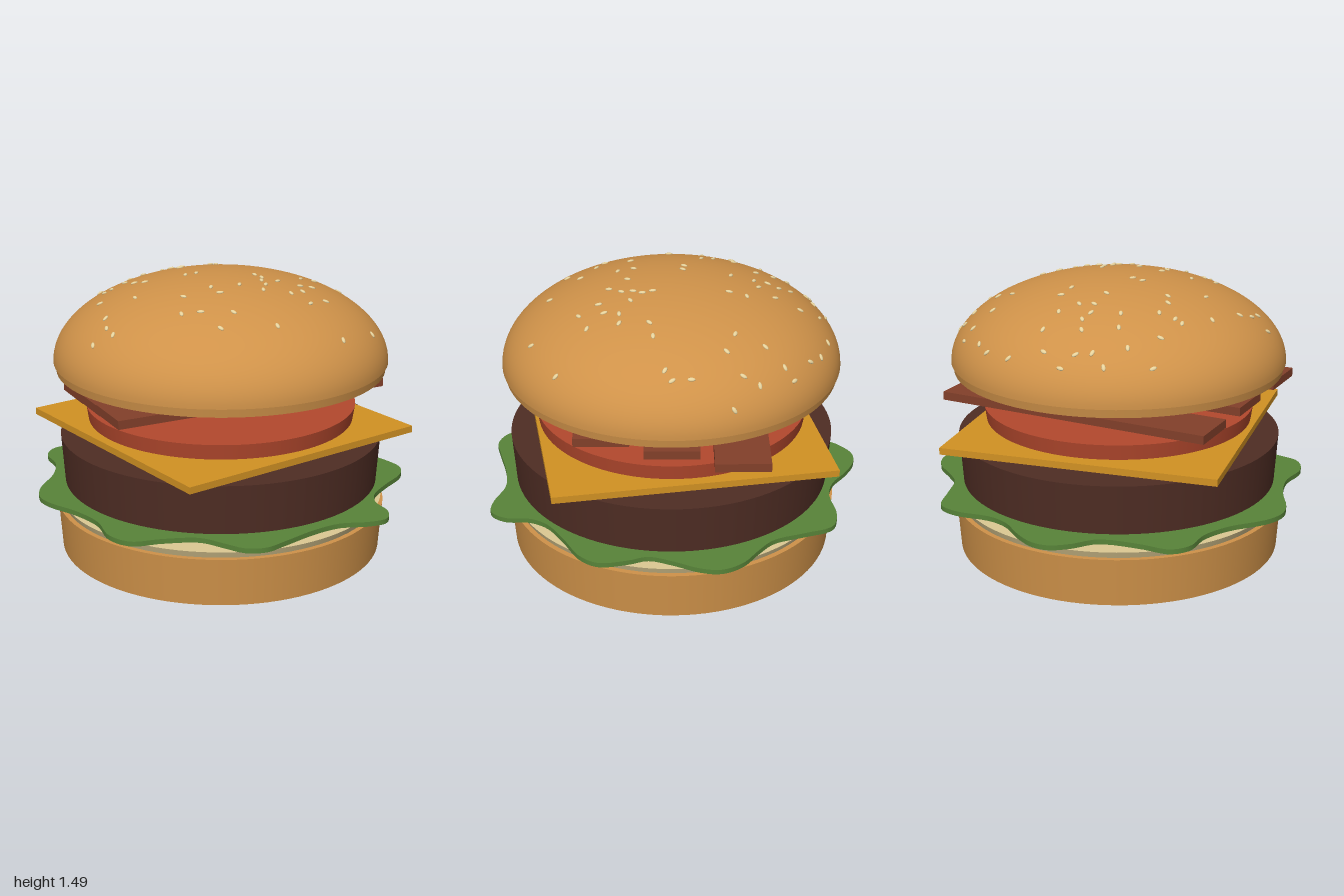
import * as THREE from 'three';
import { toCreasedNormals } from 'three/addons/utils/BufferGeometryUtils.js';

const mat = (name, color) => {
  const m = new THREE.MeshStandardMaterial({ color });
  m.name = name;
  return m;
};

export function createModel() {
  const group = new THREE.Group();
  group.name = 'burger';
  const CX = 0.02, CZ = -0.005; // shared axis of the round layers

  const bun = mat('toasted bun', 0xcf9249);
  const crumb = mat('cream crumb', 0xdcc993);
  const green = mat('lettuce green', 0x588439);
  const meat = mat('patty brown', 0x4f2d24);
  const yellow = mat('cheese yellow', 0xd29223);
  const red = mat('tomato red', 0xb3482d);
  const rasher = mat('bacon brown', 0x83402a);
  const sesame = mat('sesame', 0xe6d29c);

  const add = (name, geo, material, x = CX, y = 0, z = CZ) => {
    const mesh = new THREE.Mesh(geo, material);
    mesh.name = name;
    mesh.position.set(x, y, z);
    group.add(mesh);
    return mesh;
  };
  // slightly flared round layer between two heights
  const disc = (name, material, y0, y1, r0, r1) =>
    add(name, new THREE.CylinderGeometry(r1, r0, y1 - y0, 96), material, CX, (y0 + y1) / 2);

  disc('bottomBun', bun, 0, 0.255, 0.87, 0.887);
  disc('bottomBunCrumb', crumb, 0.255, 0.29, 0.86, 0.875);

  // lettuce leaf with a wavy outline (x, z)
  const leaf = [
    [0.905, 0], [0.95, 0.1], [0.987, 0.24], [0.94, 0.34], [0.8, 0.45], [0.68, 0.56], [0.64, 0.66], [0.65, 0.78],
    [0.6, 0.87], [0.5, 0.88], [0.35, 0.85], [0.2, 0.88], [0.0, 0.96], [-0.1, 0.995], [-0.2, 0.97], [-0.28, 0.88],
    [-0.37, 0.78], [-0.55, 0.73], [-0.7, 0.71], [-0.78, 0.6], [-0.79, 0.42], [-0.86, 0.25], [-0.96, 0.1],
    [-0.99, 0], [-0.96, -0.12], [-0.85, -0.29], [-0.8, -0.45], [-0.81, -0.6], [-0.75, -0.69], [-0.6, -0.72],
    [-0.4, -0.79], [-0.32, -0.91], [-0.24, -0.985], [-0.15, -1.0], [-0.03, -0.96], [0.1, -0.89], [0.22, -0.875],
    [0.4, -0.92], [0.52, -0.9], [0.6, -0.76], [0.68, -0.61], [0.78, -0.54], [0.9, -0.47], [0.97, -0.37],
    [0.97, -0.26], [0.93, -0.13],
  ].map(([x, z]) => new THREE.Vector3(x, -z, 0));
  const outline = new THREE.CatmullRomCurve3(leaf, true).getPoints(180).slice(0, -1);
  const leafGeo = new THREE.ExtrudeGeometry(
    new THREE.Shape(outline.map((p) => new THREE.Vector2(p.x, p.y))),
    { depth: 0.026, bevelEnabled: false });
  leafGeo.rotateX(-Math.PI / 2);
  add('lettuce', toCreasedNormals(leafGeo, 0.6), green, 0, 0.34, 0);

  disc('patty', meat, 0.375, 0.635, 0.845, 0.862);

  const cheese = add('cheeseSlice', new THREE.BoxGeometry(1.455, 0.036, 1.455), yellow, CX, 0.673, -0.008);
  cheese.rotation.y = 0.3;

  disc('tomatoSlice', red, 0.715, 0.795, 0.71, 0.722);

  // three stepped bacon strips
  for (let i = 0; i < 3; i++) {
    const strip = add('baconStrip', new THREE.BoxGeometry(1.517, 0.045, 0.277), rasher,
      CX, 0.833 + i * 0.0455, -0.353 + i * 0.35);
    strip.rotation.y = 0.13;
  }

  // top bun: short heel, narrow lip and elliptical dome
  const R = 0.887, H = 0.455, Y0 = 1.035;
  disc('topBunHeel', bun, 0.99, 1.07, 0.873, 0.884);
  const lip = new THREE.RingGeometry(0.86, R, 96);
  lip.rotateX(Math.PI / 2);
  add('topBunLip', lip, bun, CX, Y0);
  const profile = [];
  for (let i = 0; i <= 32; i++) {
    const t = (i / 32) * Math.PI / 2;
    profile.push(new THREE.Vector2(i === 32 ? 0 : R * Math.cos(t), H * Math.sin(t)));
  }
  add('topBunDome', new THREE.LatheGeometry(profile, 96), bun, CX, Y0);

  // sesame seeds scattered on the dome (x, z)
  const spots = [
    -.19, -.8, -.07, -.77, .11, -.82, .27, -.79, -.38, -.71, -.3, -.69, -.23, -.73, -.18, -.61, -.14, -.55, .01, -.67,
    .01, -.54, .36, -.74, .52, -.67, .5, -.62, -.57, -.57, -.43, -.58, -.33, -.51, -.52, -.43, -.28, -.42, -.15, -.49,
    -.12, -.42, -.05, -.45, .1, -.4, .1, -.31, -.11, -.3, -.42, -.29, -.54, -.27, -.5, -.27, -.4, -.18, -.36, -.12,
    -.16, -.05, -.1, -.05, -.61, -.1, .45, -.52, .65, -.51, .78, -.4, .65, -.43, .56, -.34, .44, -.37, .74, -.19,
    .76, -.1, .72, -.06, .54, .02, .45, .05, .18, .07, .2, .12, .18, .17, .27, .17, .45, .2, .38, .21,
    .04, .22, -.11, .21, -.27, .25, -.09, .29, -.47, .07, -.64, .12, -.66, .21, -.65, .29, -.74, .24, .14, .3,
    .18, .23, .28, .33, .36, .29, .35, .42, .46, .36, -.33, .4, -.24, .43, -.09, .49, -.19, .58, .09, .62,
    .43, .65, .67, .48,
  ];
  const seedGeo = new THREE.SphereGeometry(1, 10, 6);
  seedGeo.scale(0.02, 0.007, 0.0105);
  const up = new THREE.Vector3(0, 1, 0);
  let state = 7;
  const rand = () => (state = (state * 16807) % 2147483647) / 2147483647;
  for (let i = 0; i < spots.length; i += 2) {
    const x = spots[i] - CX, z = spots[i + 1] - CZ;
    const y = H * Math.sqrt(Math.max(0, 1 - (x * x + z * z) / (R * R)));
    const seed = add('sesameSeed', seedGeo, sesame, spots[i], Y0 + y, spots[i + 1]);
    const normal = new THREE.Vector3(x / (R * R), y / (H * H), z / (R * R)).normalize();
    seed.position.addScaledVector(normal, 0.002);
    seed.quaternion.setFromUnitVectors(up, normal)
      .multiply(new THREE.Quaternion().setFromAxisAngle(up, rand() * Math.PI));
  }
  return group;
}
